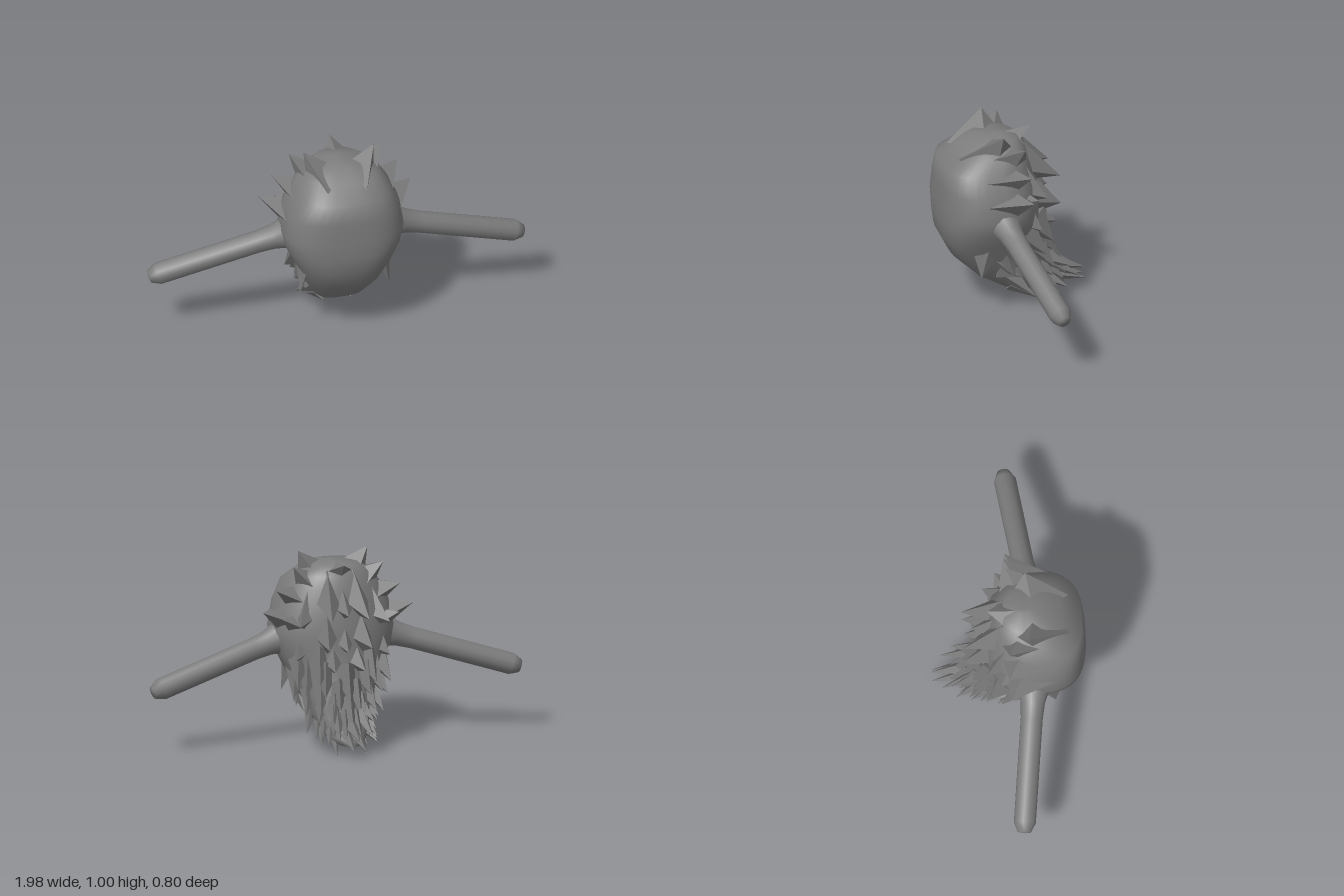
import * as THREE from 'three';

const V = (x, y, z) => new THREE.Vector3(x, y, z);

// Body sections from bottom to top: height, front z, back z, half width
const SECTIONS = [
  [0.042, -0.13, -0.25, 0.01], [0.055, -0.08, -0.28, 0.06], [0.09, 0.06, -0.27, 0.11],
  [0.18, 0.2, -0.22, 0.155], [0.31, 0.33, -0.17, 0.21], [0.43, 0.39, -0.14, 0.262],
  [0.52, 0.397, -0.13, 0.305], [0.6, 0.4, -0.125, 0.32], [0.72, 0.392, -0.115, 0.3],
  [0.83, 0.38, -0.08, 0.25], [0.9, 0.275, -0.06, 0.195], [0.945, 0.205, -0.02, 0.12], [0.957, 0.12, 0.05, 0.01],
];

// Point on the body: angle 0 is the back, PI/2 the +x side, PI the front
function surface(y, angle) {
  let i = 0;
  while (i < SECTIONS.length - 2 && SECTIONS[i + 1][0] < y) i++;
  const a = SECTIONS[i], b = SECTIONS[i + 1];
  const t = THREE.MathUtils.clamp((y - a[0]) / (b[0] - a[0]), 0, 1);
  const [, front, back, w] = a.map((v, k) => v + (b[k] - v) * t);
  const mid = back + 0.45 * (front - back);
  const s = Math.sin(angle), c = -Math.cos(angle);
  const e = c > 0 ? 0.7 : 1;
  const x = w * Math.sign(s) * Math.abs(s) ** e;
  const z = mid + (c > 0 ? (front - mid) * c ** e : (mid - back) * c);
  return V(x, y, z);
}

// Smooth closed shell through the sections
function bodyGeometry() {
  const n = 40, pos = [], idx = [];
  for (const [y] of SECTIONS)
    for (let j = 0; j < n; j++) pos.push(...surface(y, (j / n) * Math.PI * 2).toArray());
  const rows = SECTIONS.length;
  for (let i = 0; i < rows - 1; i++)
    for (let j = 0; j < n; j++) {
      const a = i * n + j, b = i * n + ((j + 1) % n);
      idx.push(a, a + n, b, b, a + n, b + n);
    }
  for (let j = 1; j < n - 1; j++) {
    idx.push(0, j, j + 1);
    idx.push((rows - 1) * n, (rows - 1) * n + j + 1, (rows - 1) * n + j);
  }
  const g = new THREE.BufferGeometry();
  g.setAttribute('position', new THREE.Float32BufferAttribute(pos, 3));
  g.setIndex(idx);
  g.computeVertexNormals();
  return g;
}

export function createModel() {
  const model = new THREE.Group();
  model.name = 'spikyCreature';
  const smooth = new THREE.MeshStandardMaterial({ color: 0x7c7c7c, side: THREE.DoubleSide });
  const faceted = new THREE.MeshStandardMaterial({ color: 0x787878, flatShading: true, side: THREE.DoubleSide });

  const body = new THREE.Mesh(bodyGeometry(), smooth);
  body.name = 'body';
  model.add(body);

  // Arms: slightly flared shoulder, straight tube, blunt end
  const armProfile = [[0.1, 0], [0.082, 0.05], [0.063, 0.12], [0.057, 0.2], [0.057, 0.735], [0.034, 0.785], [0, 0.79]]
    .map(([r, h]) => new THREE.Vector2(r, h));
  for (const side of [1, -1]) {
    const start = V(side * 0.235, 0.568, 0.125), end = V(side * 0.99, 0.333, 0.031);
    const arm = new THREE.Mesh(new THREE.LatheGeometry(armProfile, 12), smooth);
    arm.name = side > 0 ? 'leftArm' : 'rightArm';
    arm.position.copy(start);
    arm.quaternion.setFromUnitVectors(V(0, 1, 0), end.sub(start).normalize());
    model.add(arm);
  }

  // Flat pyramid from base to tip, its broad side along the spread direction
  const pyramid = new THREE.ConeGeometry(1, 1, 4).translate(0, 0.5, 0);
  function spike(group, base, tip, wide, thin, spread) {
    const dir = tip.clone().sub(base), len = dir.length();
    dir.normalize();
    const across = spread.clone().addScaledVector(dir, -spread.dot(dir)).normalize();
    const m = new THREE.Mesh(pyramid, faceted);
    m.name = 'spike';
    m.position.copy(base);
    m.quaternion.setFromRotationMatrix(new THREE.Matrix4().makeBasis(across, dir, across.clone().cross(dir)));
    m.scale.set(wide, len, thin);
    group.add(m);
  }
  function tufts(name, spread, list) {
    const group = new THREE.Group();
    group.name = name;
    for (const [base, tip, wide, thin] of list)
      for (const s of base[0] || tip[0] ? [1, -1] : [1])
        spike(group, V(s * base[0], base[1], base[2]), V(s * tip[0], tip[1], tip[2]), wide, thin, spread);
    model.add(group);
  }

  // Crest: broad flaps around the head, swept to the back
  tufts('crest', V(0, 0, 1), [
    [[0.08, 0.85, 0.14], [0.185, 1.01, 0.1], 0.18, 0.11],
    [[0.1, 0.8, 0.1], [0.24, 0.95, 0.0], 0.19, 0.11],
    [[0.13, 0.74, 0.12], [0.33, 0.832, -0.005], 0.22, 0.12],
    [[0.16, 0.63, 0.13], [0.4, 0.72, 0.005], 0.22, 0.13],
    [[0.16, 0.62, 0.05], [0.31, 0.69, -0.05], 0.15, 0.11],
  ]);
  tufts('crown', V(1, 0, 0), [[[0, 0.87, 0.07], [0, 0.968, -0.105], 0.14, 0.09]]);

  // Nape: large flaps pointing back and down
  tufts('nape', V(0, 1, 0), [
    [[0.06, 0.81, 0.02], [0.1, 0.705, -0.232], 0.13, 0.1],
    [[0.14, 0.72, 0.02], [0.24, 0.66, -0.12], 0.13, 0.09],
    [[0, 0.76, -0.01], [0, 0.72, -0.19], 0.12, 0.09],
    [[0.07, 0.62, 0], [0.115, 0.555, -0.23], 0.17, 0.1],
    [[0.15, 0.56, 0.03], [0.25, 0.48, -0.09], 0.14, 0.1],
    [[0, 0.6, -0.03], [0, 0.53, -0.19], 0.12, 0.09],
    [[0.05, 0.49, -0.04], [0.08, 0.435, -0.22], 0.11, 0.08],
  ]);

  // Back fur rows: height, angles from the back, outward reach, drop, radius
  const rows = [
    [0.46, [0.55, 1.05], 0.08, 0.1, 0.085],
    [0.39, [0, 0.5, 0.95, 1.4], 0.075, 0.11, 0.08],
    [0.31, [0.25, 0.75, 1.2, 1.65], 0.08, 0.1, 0.07],
    [0.24, [0, 0.5, 0.95, 1.4], 0.08, 0.09, 0.06],
    [0.17, [0.25, 0.65, 1.1, 1.5], 0.08, 0.08, 0.05],
  ];
  const fur = rows.flatMap(([y, angles, reach, drop, r], row) => angles.map((a, k) => {
    const p = surface(y, a);
    const vary = 1 + 0.2 * Math.sin(row * 2.3 + k * 1.7);
    const tip = p.clone().add(V(Math.sin(a) * 0.12 * reach, -drop, -reach).multiplyScalar(vary));
    const base = p.clone().add(V(-0.05 * Math.sin(a), 0.03, 0.04));
    return [base.toArray(), tip.toArray(), r * 1.2, r * 0.85];
  }));
  tufts('backFur', V(0, 1, 0), fur);

  // Tail: thin tufts at the lower back
  tufts('tailTufts', V(0, 1, 0), [
    [[0, 0.17, -0.18], [0, 0.105, -0.395], 0.06, 0.05],
    [[0.025, 0.12, -0.2], [0.03, 0.057, -0.395], 0.05, 0.04],
    [[0.06, 0.21, -0.16], [0.09, 0.105, -0.345], 0.05, 0.04],
    [[0.07, 0.25, -0.13], [0.11, 0.18, -0.29], 0.06, 0.04],
    [[0.08, 0.14, -0.14], [0.13, 0.07, -0.27], 0.045, 0.035],
    [[0.06, 0.12, -0.12], [0.08, 0.005, -0.25], 0.045, 0.035],
    [[0.1, 0.15, -0.05], [0.15, 0.07, -0.2], 0.045, 0.035],
    [[0.08, 0.12, 0.03], [0.12, 0.025, -0.12], 0.045, 0.035],
    [[0.12, 0.2, 0.06], [0.185, 0.085, -0.06], 0.06, 0.045],
  ]);

  // Side tufts lying against the flanks below the arms
  tufts('sideTufts', V(0, 0, 1), [
    [[0.19, 0.47, 0.18], [0.235, 0.25, 0.235], 0.12, 0.06],
    [[0.17, 0.4, 0.12], [0.22, 0.23, 0.05], 0.11, 0.07],
    [[0.15, 0.27, 0.11], [0.2, 0.2, -0.06], 0.07, 0.055],
  ]);

  return model;
}
